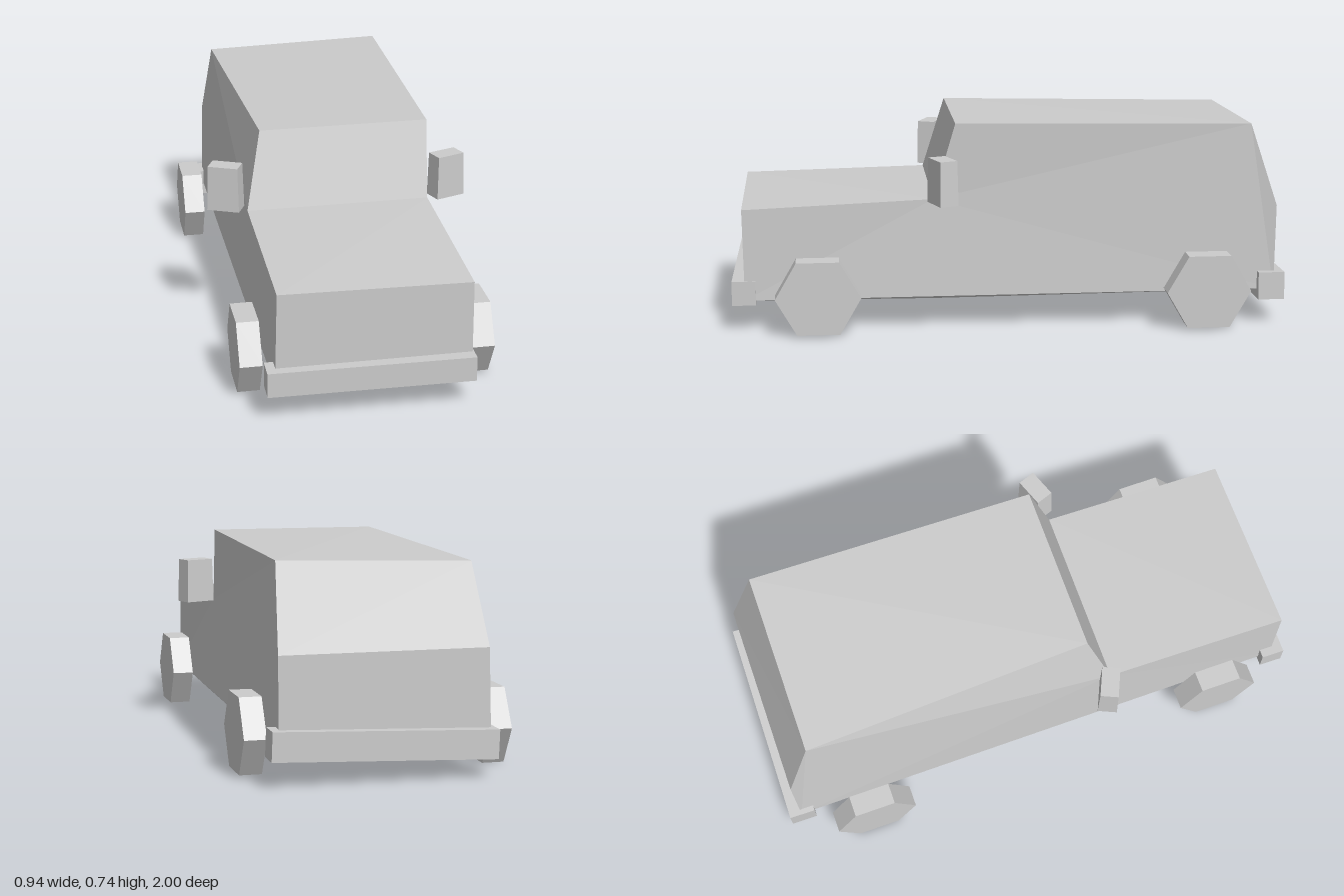
import * as THREE from 'three';

const material = new THREE.MeshStandardMaterial({ color: 0xcccccc, flatShading: true });

// Side profile, counter-clockwise from the front bottom corner:
// [z, right x, right y, left x, left y]; the two sides differ a little
const PROFILE = [
  [0.955, -0.35, 0.125, 0.325, 0.12],
  [0.96, -0.342, 0.46, 0.322, 0.45],
  [0.28, -0.336, 0.475, 0.325, 0.477],
  [0.2, -0.277, 0.748, 0.335, 0.75],
  [-0.86, -0.312, 0.72, 0.362, 0.738],
  [-0.958, -0.345, 0.44, 0.378, 0.44],
  [-0.955, -0.355, 0.12, 0.375, 0.13],
  [0.28, -0.345, 0.115, 0.335, 0.115],
];

// Hard-edged shell: two side panels joined by a strip of quads
function bodyGeometry() {
  const right = PROFILE.map(([z, x, y]) => [x, y, z]);
  const left = PROFILE.map(([z, , , x, y]) => [x, y, z]);
  const pos = [];
  const tri = (a, b, c) => pos.push(...a, ...b, ...c);
  const outline = PROFILE.map(([z, , y]) => new THREE.Vector2(z, y));
  for (const [a, b, c] of THREE.ShapeUtils.triangulateShape(outline, [])) {
    tri(right[a], right[b], right[c]);
    tri(left[a], left[c], left[b]);
  }
  for (let i = 0; i < PROFILE.length; i++) {
    const j = (i + 1) % PROFILE.length;
    tri(right[i], left[i], left[j]);
    tri(right[i], left[j], right[j]);
  }
  const g = new THREE.BufferGeometry();
  g.setAttribute('position', new THREE.Float32BufferAttribute(pos, 3));
  g.computeVertexNormals();
  return g;
}

// Box whose top face is scaled in x and z
function taperedBox(w, h, d, taper) {
  const g = new THREE.BoxGeometry(w, h, d);
  const p = g.attributes.position;
  for (let i = 0; i < p.count; i++) {
    if (p.getY(i) > 0) p.setXYZ(i, p.getX(i) * taper, p.getY(i), p.getZ(i) * taper);
  }
  g.computeVertexNormals();
  return g;
}

export function createModel() {
  const group = new THREE.Group();
  const add = (name, geometry, position, rotation = [0, 0, 0]) => {
    const mesh = new THREE.Mesh(geometry, material);
    mesh.name = name;
    mesh.position.set(...position);
    mesh.rotation.set(...rotation);
    group.add(mesh);
  };

  add('body', bodyGeometry(), [0, 0, 0]);

  // Six-sided wheels standing on a flat edge
  const wheel = new THREE.CylinderGeometry(0.152, 0.152, 0.078, 6).rotateZ(Math.PI / 2);
  add('frontRightWheel', wheel, [-0.413, 0.147, 0.695]);
  add('frontLeftWheel', wheel, [0.395, 0.147, 0.695]);
  add('rearRightWheel', wheel, [-0.434, 0.138, -0.69]);
  add('rearLeftWheel', wheel, [0.428, 0.146, -0.7]);

  // Bumpers, slightly askew
  add('frontBumper', new THREE.BoxGeometry(0.71, 0.088, 0.085), [-0.025, 0.147, 0.954], [0, -0.014, 0]);
  add('rearBumper', new THREE.BoxGeometry(0.775, 0.1, 0.095), [0.018, 0.133, -0.946], [0, -0.013, 0.037]);

  // Wing mirrors angled outward
  add('rightMirror', taperedBox(0.118, 0.165, 0.07, 0.93), [-0.409, 0.561, 0.243], [0, -0.42, 0]);
  add('leftMirror', taperedBox(0.115, 0.16, 0.07, 0.93), [0.4, 0.555, 0.25], [0, 0.35, 0]);

  return group;
}
